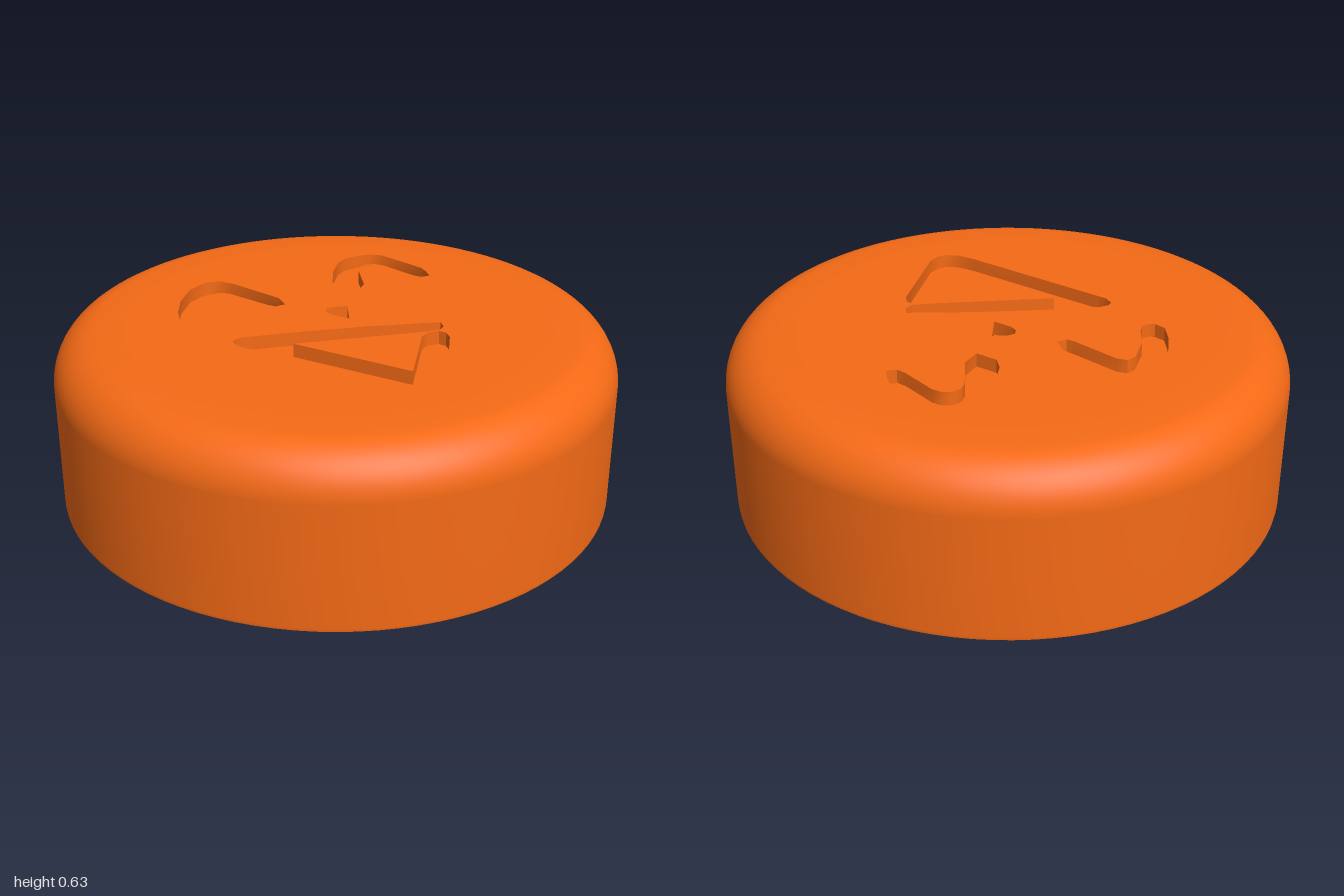
import * as THREE from 'three';
import { toCreasedNormals } from 'three/addons/utils/BufferGeometryUtils.js';

const TOP = 0.635, DEPTH = 0.05, FLAT_R = 0.75, SEGMENTS = 96;

// Groove outlines on the top face, as x, z pairs in thousandths
const outlines = {
  rightEye: [-492, -168, -513, -206, -497, -281, -460, -372, -396, -463, -342, -500, -305, -511, -262, -500,
    -225, -457, -118, -265, -118, -200, -155, -195, -176, -217, -273, -377, -305, -398, -337, -382,
    -396, -291, -422, -206, -444, -168, -471, -160],
  leftEye: [118, -275, 123, -329, 166, -425, 219, -505, 262, -537, 316, -548, 369, -543, 412, -516, 497, -334,
    497, -291, 492, -251, 455, -251, 433, -281, 374, -414, 348, -441, 316, -449, 283, -436, 262, -404,
    225, -265, 171, -211],
  nose: [-5, -83, 5, -104, 32, -110, 86, -99, 48, 8, 0, -51],
  mouth: [-401, 40, -385, 24, -353, 19, -182, 45, 86, 99, 332, 163, 326, 201, 299, 222, 246, 217, -214, 134,
    70, 489, 219, 249, 251, 228, 294, 230, 310, 254, 305, 291, 144, 586, 107, 618, 70, 626, 27, 607,
    -21, 559, -369, 115, -396, 78],
};

// Counter-clockwise outline in the shape plane (y = -z)
function toPoints(flat) {
  const pts = [];
  for (let i = 0; i < flat.length; i += 2) pts.push(new THREE.Vector2(flat[i] / 1000, -flat[i + 1] / 1000));
  return THREE.ShapeUtils.isClockWise(pts) ? pts.reverse() : pts;
}

// Horizontal surface facing up at height y
const flatFace = (shape, y) => new THREE.ShapeGeometry(shape).rotateX(-Math.PI / 2).translate(0, y, 0);

// Vertical walls facing into a groove
function grooveWalls(pts) {
  const pos = [], low = TOP - DEPTH;
  pts.forEach((a, i) => {
    const b = pts[(i + 1) % pts.length];
    pos.push(a.x, TOP, -a.y, b.x, TOP, -b.y, b.x, low, -b.y);
    pos.push(a.x, TOP, -a.y, b.x, low, -b.y, a.x, low, -a.y);
  });
  const geo = new THREE.BufferGeometry();
  geo.setAttribute('position', new THREE.Float32BufferAttribute(pos, 3));
  return toCreasedNormals(geo, 0.7);
}

export function createModel() {
  const group = new THREE.Group();
  const material = new THREE.MeshStandardMaterial({ color: 0xf56a16 });
  const add = (name, geometry, parent = group) => {
    const mesh = new THREE.Mesh(geometry, material);
    mesh.name = name;
    parent.add(mesh);
  };
  const lathe = (pairs) => new THREE.LatheGeometry(pairs.map(([r, y]) => new THREE.Vector2(r, y)), SEGMENTS);

  // Round side with a softly rolled upper edge
  const side = [[0.998, 0.008], [1, 0.02], [1, 0.24]];
  for (let i = 0; i <= 14; i++) {
    const a = (i / 14) * Math.PI / 2;
    side.push([0.84 + 0.16 * Math.cos(a), 0.465 + 0.166 * Math.sin(a)]);
  }
  side.push([0.8, 0.634], [FLAT_R, TOP]);
  add('body', lathe(side));

  // Very slightly domed underside
  add('underside', lathe([[0, 0], [0.32, 0], [0.998, 0.008]]));

  // Flat top pierced by the grooves
  const rim = Array.from({ length: SEGMENTS }, (_, i) => {
    const a = (i / SEGMENTS) * Math.PI * 2;
    return new THREE.Vector2(FLAT_R * Math.cos(a), FLAT_R * Math.sin(a));
  });
  const top = new THREE.Shape(rim);

  // Each engraved feature: floor plus walls
  for (const [name, flat] of Object.entries(outlines)) {
    const pts = toPoints(flat);
    top.holes.push(new THREE.Path(pts));
    const feature = new THREE.Group();
    feature.name = name;
    add(name + 'Floor', flatFace(new THREE.Shape(pts), TOP - DEPTH), feature);
    add(name + 'Walls', grooveWalls(pts), feature);
    group.add(feature);
  }
  add('topFace', flatFace(top, TOP));
  return group;
}
